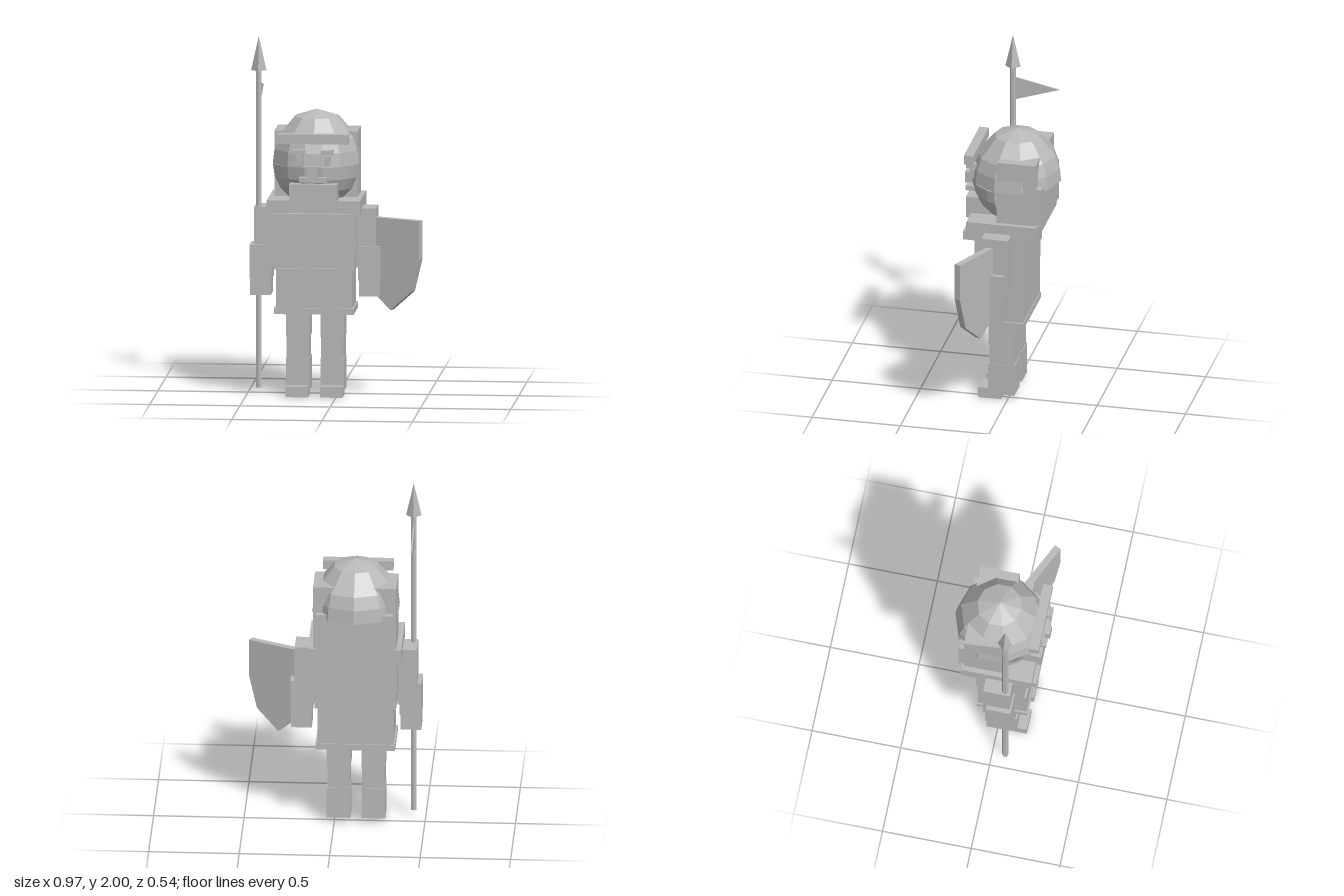
import * as THREE from 'three';

const D = Math.PI / 180;
const CX = -0.12; // centre line of the figure

export function createModel() {
  const root = new THREE.Group();
  root.name = 'spearGuard';
  const grey = new THREE.MeshStandardMaterial({ color: 0xb8b8b8, flatShading: true, side: THREE.DoubleSide });
  grey.name = 'stone grey';

  const add = (name, geo, x = 0, y = 0, z = 0) => {
    const m = new THREE.Mesh(geo, grey);
    m.name = name;
    m.position.set(x, y, z);
    root.add(m);
    return m;
  };
  // box given by its limits
  const box = (name, x0, x1, y0, y1, z0, z1) =>
    add(name, new THREE.BoxGeometry(x1 - x0, y1 - y0, z1 - z0), (x0 + x1) / 2, (y0 + y1) / 2, (z0 + z1) / 2);
  // box centred on the figure's centre line
  const mid = (name, half, y0, y1, z0, z1) => box(name, CX - half, CX + half, y0, y1, z0, z1);

  // legs
  for (const s of [-1, 1]) {
    const side = s < 0 ? 'right' : 'left';
    const c = CX + s * 0.096;
    box(side + 'Thigh', c - 0.066, c + 0.066, 0.33, 0.5, -0.035, 0.105);
    box(side + 'Shin', c - 0.062, c + 0.062, 0.2, 0.335, -0.035, 0.1);
    box(side + 'Boot', c - 0.065, c + 0.065, 0.03, 0.21, -0.04, 0.11);
    box(side + 'Foot', c - 0.062, c + 0.062, 0, 0.06, 0.035, 0.165);
  }

  // tunic
  mid('hem', 0.22, 0.465, 0.5, -0.105, 0.18);
  mid('skirt', 0.21, 0.49, 0.72, -0.1, 0.172);
  mid('waist', 0.225, 0.71, 0.88, -0.1, 0.16);
  mid('chest', 0.232, 0.82, 1.04, -0.107, 0.168);
  mid('chestTrim', 0.23, 0.985, 1.035, 0.1, 0.235);
  mid('collar', 0.258, 1.022, 1.105, -0.185, 0.21);

  // arms
  for (const s of [-1, 1]) {
    const side = s < 0 ? 'right' : 'left';
    const span = (a, b) => (s < 0 ? [CX - b, CX - a] : [CX + a, CX + b]);
    box(side + 'Sleeve', ...span(0.23, 0.338), 0.72, 1.05, -0.045, 0.105);
    box(side + 'Forearm', ...span(0.24, 0.363), 0.65, 0.84, -0.025, 0.115);
    box(side + 'Hand', ...span(0.245, 0.36), 0.56, 0.66, -0.022, 0.112);
  }

  // helmet: cap, then a lower row open at the face
  const R = 0.25, HY = 1.29, HZ = -0.02;
  const shell = (name, seg, rows, p0, p, t0, t, up) => {
    const g = new THREE.SphereGeometry(R, seg, rows, p0 * D, p * D, t0 * D, t * D);
    g.scale(1, up / R, 1);
    return add(name, g, CX, HY, HZ);
  };
  shell('helmetCap', 10, 2, 90, 360, 0, 60, 0.295);
  shell('helmetSkirt', 8, 1, 126, 288, 60, 30, 0.295);
  const rim = new THREE.CircleGeometry(R, 4, 198 * D, 144 * D);
  rim.rotateX(Math.PI / 2);
  add('helmetRim', rim, CX, HY, HZ);
  mid('helmetBand', 0.195, 1.425, 1.478, 0.185, 0.238);

  // face and cheeks
  shell('upperFace', 1, 1, 54, 72, 60, 30, 0.295);
  shell('lowerFace', 1, 3, 54, 72, 90, 50, 0.25);
  shell('rightCheek', 1, 3, 18, 36, 90, 50, 0.25);
  shell('leftCheek', 1, 3, 126, 36, 90, 50, 0.25);
  mid('neck', 0.11, 1.05, 1.25, -0.1, 0.09);
  for (const s of [-1, 1]) {
    const c = CX + s * 0.077;
    box(s < 0 ? 'rightBrow' : 'leftBrow', c - 0.034, c + 0.034, 1.365, 1.39, 0.15, 0.245);
    box(s < 0 ? 'rightEye' : 'leftEye', c - 0.019, c + 0.019, 1.3, 1.356, 0.16, 0.225);
  }
  mid('nose', 0.027, 1.235, 1.302, 0.16, 0.268);
  mid('mouth', 0.076, 1.213, 1.24, 0.14, 0.255);
  mid('beard', 0.132, 1.075, 1.2, 0.04, 0.24);

  // hair behind the helmet
  mid('sideHair', 0.23, 1.085, 1.47, -0.175, 0.045);
  mid('backHair', 0.213, 1.085, 1.32, -0.208, 0);

  // spear and pennant
  const SX = -0.434, SZ = 0.075;
  add('spearShaft', new THREE.CylinderGeometry(0.017, 0.017, 1.78, 6), SX, 0.93, SZ);
  add('spearHead', new THREE.ConeGeometry(0.043, 0.19, 4), SX, 1.905, SZ);
  const flag = new THREE.Shape([[0, 1.745], [0, 1.61], [0.25, 1.692]].map(p => new THREE.Vector2(...p)));
  const flagGeo = new THREE.ExtrudeGeometry(flag, { depth: 0.008, bevelEnabled: false });
  flagGeo.translate(0, 0, -0.004);
  add('pennant', flagGeo, SX, 0, 0.063).rotation.y = Math.PI / 2;

  // shield, angled out from the left arm
  const half = [[0.185, 0.998], [0.185, 0.785], [0.135, 0.6]];
  const outline = [...half, [0, 0.487], ...half.map(([x, y]) => [-x, y]).reverse()];
  const shieldGeo = new THREE.ExtrudeGeometry(
    new THREE.Shape(outline.map(p => new THREE.Vector2(...p))), { depth: 0.038, bevelEnabled: false });
  shieldGeo.translate(0, 0, -0.019);
  add('shield', shieldGeo, 0.307, 0, 0.104).rotation.y = -25.5 * D;

  return root;
}
